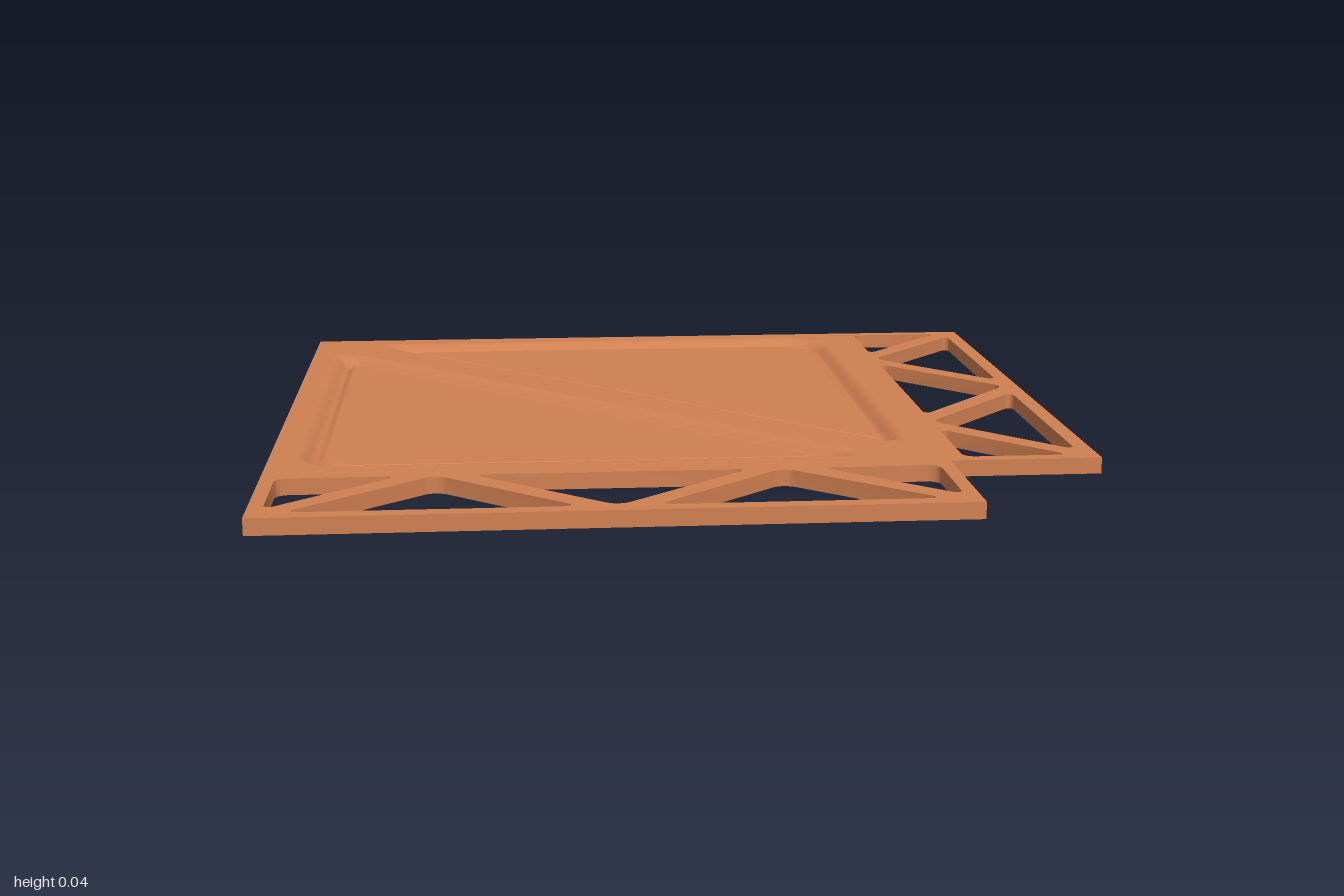
import * as THREE from 'three';
import { toCreasedNormals } from 'three/addons/utils/BufferGeometryUtils.js';

const TOP = 0.04;
const material = new THREE.MeshStandardMaterial({ color: 0xd08052, side: THREE.DoubleSide });
const V = (x, z) => new THREE.Vector2(x, z);
const swap = (pts) => pts.map((p) => V(p.y, p.x)); // mirror across the plate's diagonal

// Polygon with each corner replaced by an arc of its own radius
function rounded(corners, radii, steps = 8) {
  const out = [];
  corners.forEach((c, i) => {
    const n = corners.length;
    const a = corners[(i + n - 1) % n].clone().sub(c).normalize();
    const b = corners[(i + 1) % n].clone().sub(c).normalize();
    const half = Math.acos(a.dot(b)) / 2;
    const r = radii[i];
    const centre = a.clone().add(b).normalize().multiplyScalar(r / Math.sin(half)).add(c);
    const start = a.clone().multiplyScalar(r / Math.tan(half)).add(c).sub(centre);
    const end = b.clone().multiplyScalar(r / Math.tan(half)).add(c).sub(centre);
    const a0 = start.angle();
    let sweep = end.angle() - a0;
    if (sweep > Math.PI) sweep -= 2 * Math.PI;
    if (sweep < -Math.PI) sweep += 2 * Math.PI;
    for (let k = 0; k <= steps; k++) {
      const t = a0 + (sweep * k) / steps;
      out.push(V(centre.x + r * Math.cos(t), centre.y + r * Math.sin(t)));
    }
  });
  return out;
}

// Surface through closed rings, each [points, height]
function loft(rings) {
  const pos = [];
  for (let j = 0; j + 1 < rings.length; j++) {
    const [p, y0] = rings[j];
    const [q, y1] = rings[j + 1];
    p.forEach((_, i) => {
      const k = (i + 1) % p.length;
      const A = [p[i].x, y0, p[i].y], B = [p[k].x, y0, p[k].y];
      const C = [q[k].x, y1, q[k].y], D = [q[i].x, y1, q[i].y];
      pos.push(...A, ...B, ...C, ...A, ...C, ...D);
    });
  }
  const g = new THREE.BufferGeometry();
  g.setAttribute('position', new THREE.Float32BufferAttribute(pos, 3));
  return toCreasedNormals(g, 0.6);
}

// Flat horizontal sheet with openings
function sheet(outline, holes, y) {
  const flip = (pts) => pts.map((p) => V(p.x, -p.y));
  const shape = new THREE.Shape(flip(outline));
  shape.holes = holes.map((h) => new THREE.Path(flip(h)));
  return new THREE.ShapeGeometry(shape).rotateX(-Math.PI / 2).translate(0, y, 0);
}

// Triangular bead outline, moved inward by d
function triangle(d) {
  const left = -0.94 + d, front = 0.57 - d, diagonal = 0.08 + d * Math.SQRT2;
  return rounded(
    [V(left, left + diagonal), V(left, front), V(front - diagonal, front)],
    [0.043 - d * 0.4, 0.13 - d * 0.5, 0.043 - d * 0.4]
  );
}

export function createModel() {
  const group = new THREE.Group();
  const add = (name, geometry) => {
    const mesh = new THREE.Mesh(geometry, material);
    mesh.name = name;
    group.add(mesh);
  };

  const outline = [V(-1, -1), V(1, -1), V(1, 0.63), V(0.63, 0.63), V(0.63, 1), V(-1, 1)];

  // Truss openings of the front strip
  const I = 0.67, O = 0.96;
  const openings = [
    [V(-0.965, I), V(-0.68, I), V(-0.965, 0.93)],
    [V(-0.595, I), V(-0.27, O), V(-0.92, O)],
    [V(-0.51, I), V(0.14, I), V(-0.185, O)],
    [V(0.22, I), V(0.545, O), V(-0.1, O)],
    [V(0.31, I), V(0.595, I), V(0.595, 0.93)],
  ].map((c, i) => {
    const apex = 0.04, tip = 0.012;
    const radii = [[0.03, tip, tip], [apex, tip, tip], [tip, tip, apex], [apex, tip, tip], [tip, 0.03, tip]][i];
    return rounded(c, radii, 6);
  });
  const trussHoles = [...openings, ...openings.map(swap)];

  // Top skin
  const beadEdge = triangle(0);
  add('topSkin', sheet(outline, [...trussHoles, beadEdge, swap(beadEdge)], TOP));

  // Flanges turned down around the rim and the truss openings
  add('outerRim', loft([[outline, TOP], [outline, 0]]));
  trussHoles.forEach((h) => add('trussOpeningFlange', loft([[h, TOP], [h, 0]])));

  // Pressed triangular beads [inset, height] and the panels inside them
  const profile = [
    [0, 0.04], [0.008, 0.039], [0.018, 0.034], [0.028, 0.025], [0.035, 0.018],
    [0.042, 0.014], [0.05, 0.014], [0.056, 0.017], [0.062, 0.024], [0.068, 0.026],
  ];
  for (const [side, place] of [['left', swap], ['right', (p) => p]]) {
    const rings = profile.map(([d, y]) => [place(triangle(d)), y]);
    add(side + 'Bead', loft(rings));
    const [inner, y] = rings[rings.length - 1];
    add(side + 'Panel', sheet(inner, [], y));
  }
  return group;
}
